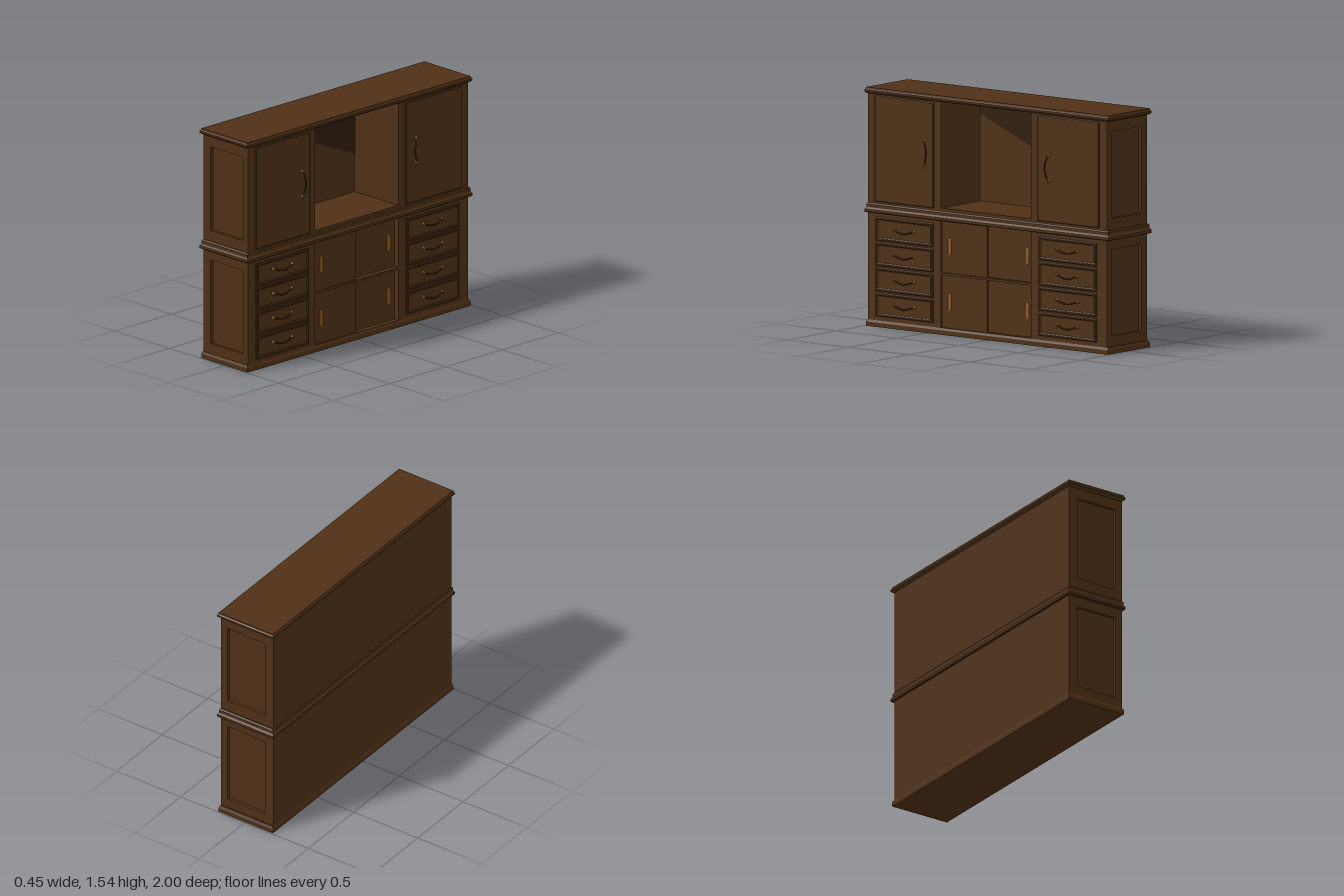
import * as THREE from 'three';

const wood = new THREE.MeshStandardMaterial({ color: 0x4f3016, flatShading: true });
const shade = new THREE.MeshStandardMaterial({ color: 0x301d0d, side: THREE.DoubleSide });
const brass = new THREE.MeshStandardMaterial({ color: 0x8a5c1f });
const bronze = new THREE.MeshStandardMaterial({ color: 0x4a2e10 });

// The cabinet's drawers and doors face +x; its length runs along z.
const BACK = -0.21, FRONT = 0.2, END_P = 0.98, END_N = -0.975;
const BAY_P = 0.385, BAY_N = -0.355, BAY_MID = 0.015;

function add(parent, name, geometry, material = wood) {
  const mesh = new THREE.Mesh(geometry, material);
  mesh.name = name;
  parent.add(mesh);
  return mesh;
}

// Box given by its extents
function slab(parent, name, x0, x1, y0, y1, z0, z1, material) {
  const mesh = add(parent, name, new THREE.BoxGeometry(x1 - x0, y1 - y0, z1 - z0), material);
  mesh.position.set((x0 + x1) / 2, (y0 + y1) / 2, (z0 + z1) / 2);
  return mesh;
}

// Capped stack of rectangles along y; each layer is [height, inset]
function loftRect(halfX, halfZ, layers) {
  const pos = [], index = [];
  for (const [h, inset] of layers) {
    const a = halfX - inset, b = halfZ - inset;
    pos.push(-a, h, b, a, h, b, a, h, -b, -a, h, -b);
  }
  for (let i = 0; i < layers.length - 1; i++) {
    for (let j = 0; j < 4; j++) {
      const p = i * 4 + j, q = i * 4 + (j + 1) % 4;
      index.push(p, q, q + 4, p, q + 4, p + 4);
    }
  }
  const t = (layers.length - 1) * 4;
  index.push(0, 2, 1, 0, 3, 2, t, t + 1, t + 2, t, t + 2, t + 3);
  const g = new THREE.BufferGeometry();
  g.setAttribute('position', new THREE.Float32BufferAttribute(pos, 3));
  g.setIndex(index);
  const flat = g.toNonIndexed();
  flat.computeVertexNormals();
  return flat;
}

// Moulding running right round the cabinet
function moulding(parent, name, y, layers) {
  add(parent, name, loftRect(0.22, 1, layers)).position.set(-0.005, y, 0);
}

// End wall: a frame around a sunken panel; dir is +1 or -1 along z
function endWall(parent, y0, y1, p0, p1, z, dir) {
  const depth = 0.02;
  const s = new THREE.Shape();
  s.moveTo(BACK, y0).lineTo(FRONT, y0).lineTo(FRONT, y1).lineTo(BACK, y1).closePath();
  const h = new THREE.Path();
  h.moveTo(-0.145, p0).lineTo(-0.145, p1).lineTo(0.15, p1).lineTo(0.15, p0).closePath();
  s.holes.push(h);
  const frame = add(parent, 'endFrame', new THREE.ExtrudeGeometry(s, { depth, bevelEnabled: false }));
  frame.position.z = dir > 0 ? z - depth : z;
}

// Bowed pull with a rosette at each end; bows toward -y before being turned about x
function pull(parent, x, y, z, half, turn) {
  const g = new THREE.Group();
  g.name = 'pullHandle';
  const curve = new THREE.CatmullRomCurve3([
    [0.004, 0, -half], [0.011, -0.012, -half * 0.6], [0.013, -0.022, 0],
    [0.011, -0.012, half * 0.6], [0.004, 0, half],
  ].map((p) => new THREE.Vector3(...p)));
  add(g, 'handleBar', new THREE.TubeGeometry(curve, 16, 0.0045, 6), bronze);
  for (const s of [-1, 1]) {
    const base = add(g, 'rosette', new THREE.CylinderGeometry(0.009, 0.014, 0.008, 10), brass);
    base.rotation.z = -Math.PI / 2;
    base.position.set(0.004, 0, s * half);
    const knob = add(g, 'knob', new THREE.SphereGeometry(0.007, 8, 6), brass);
    knob.position.set(0.008, 0, s * half);
  }
  g.position.set(x, y, z);
  g.rotation.x = turn;
  parent.add(g);
}

// Raised front facing +x
function raisedFront(parent, name, y0, y1, z0, z1, layers) {
  const m = add(parent, name, loftRect((y1 - y0) / 2, (z1 - z0) / 2, layers));
  m.rotation.z = -Math.PI / 2;
  m.position.set(FRONT, (y0 + y1) / 2, (z0 + z1) / 2);
}

// Vertical finger grip on a sliding door
function slideGrip(parent, x, y, z) {
  const grip = add(parent, 'slideGrip', new THREE.CapsuleGeometry(0.013, 0.085, 4, 10), brass);
  grip.scale.x = 0.4;
  grip.position.set(x, y, z);
}

export function createModel() {
  const model = new THREE.Group();
  model.name = 'sideboardCabinet';

  // Carcass: two tiers of closed side bays with panelled ends
  const carcass = new THREE.Group();
  carcass.name = 'carcass';
  model.add(carcass);
  for (const [y0, y1, p0, p1] of [[0, 0.74, 0.11, 0.67], [0.79, 1.505, 0.87, 1.43]]) {
    slab(carcass, 'sideBay', BACK, FRONT, y0, y1, BAY_P, END_P - 0.02);
    slab(carcass, 'sideBay', BACK, FRONT, y0, y1, END_N + 0.02, BAY_N);
    endWall(carcass, y0, y1, p0, p1, END_P, 1);
    endWall(carcass, y0, y1, p0, p1, END_N, -1);
    slab(carcass, 'backPanel', BACK, -0.2, y0, y1, BAY_N, BAY_P);
  }
  slab(carcass, 'bayFloor', BACK, FRONT, 0, 0.045, BAY_N, BAY_P);
  slab(carcass, 'bayShelf', BACK, FRONT, 0.385, 0.4, BAY_N, BAY_P);
  slab(carcass, 'middleDeck', BACK, FRONT, 0.735, 0.815, END_N, END_P);

  // Darker upper part of the niche's back wall
  const wedge = new THREE.Shape();
  wedge.moveTo(-BAY_P, 1.38).lineTo(-BAY_N, 1.07).lineTo(-BAY_N, 1.505).lineTo(-BAY_P, 1.505).closePath();
  const wedgeMesh = add(carcass, 'nicheBackUpper', new THREE.ShapeGeometry(wedge), shade);
  wedgeMesh.rotation.y = Math.PI / 2;
  wedgeMesh.position.x = -0.198;

  // Mouldings: plinth, waist and cornice
  moulding(model, 'plinth', 0, [[0, 0.008], [0.028, 0.008], [0.036, 0.012], [0.045, 0.016]]);
  moulding(model, 'waistMoulding', 0.735,
    [[0, 0.004], [0.004, 0], [0.02, 0], [0.026, 0.005], [0.032, 0.009], [0.052, 0.009], [0.062, 0.016]]);
  moulding(model, 'cornice', 1.5,
    [[0, 0.015], [0.006, 0.006], [0.012, 0], [0.024, 0], [0.03, 0.006], [0.04, 0.008]]);

  // Drawers: a moulded rim around a sunken field
  const rim = [[0, 0], [0.006, 0], [0.01, 0.005], [0.01, 0.013], [0.005, 0.02]];
  for (const [z0, z1] of [[0.445, 0.915], [-0.895, -0.42]]) {
    for (let i = 0; i < 4; i++) {
      const y = 0.07 + i * 0.163;
      raisedFront(model, 'drawerFront', y, y + 0.152, z0, z1, rim);
      pull(model, FRONT + 0.006, y + 0.083, (z0 + z1) / 2, 0.082, 0);
    }
  }

  // Sliding doors in two tracks
  for (const [y0, y1, gy] of [[0.045, 0.385, 0.21], [0.4, 0.735, 0.568]]) {
    slab(model, 'slidingDoorOuter', 0.172, 0.188, y0, y1, BAY_MID, BAY_P);
    slab(model, 'slidingDoorInner', 0.15, 0.166, y0, y1, BAY_N, BAY_MID + 0.02);
    slideGrip(model, 0.189, gy, 0.32);
    slideGrip(model, 0.167, gy, -0.298);
  }

  // Upper hinged doors with upright pulls
  const plain = [[0, 0], [0.008, 0], [0.011, 0.004]];
  raisedFront(model, 'upperDoor', 0.81, 1.49, 0.44, 0.92, plain);
  raisedFront(model, 'upperDoor', 0.81, 1.49, -0.915, -0.415, plain);
  pull(model, FRONT + 0.011, 1.157, 0.51, 0.083, Math.PI / 2);
  pull(model, FRONT + 0.011, 1.157, -0.505, 0.083, -Math.PI / 2);

  return model;
}
